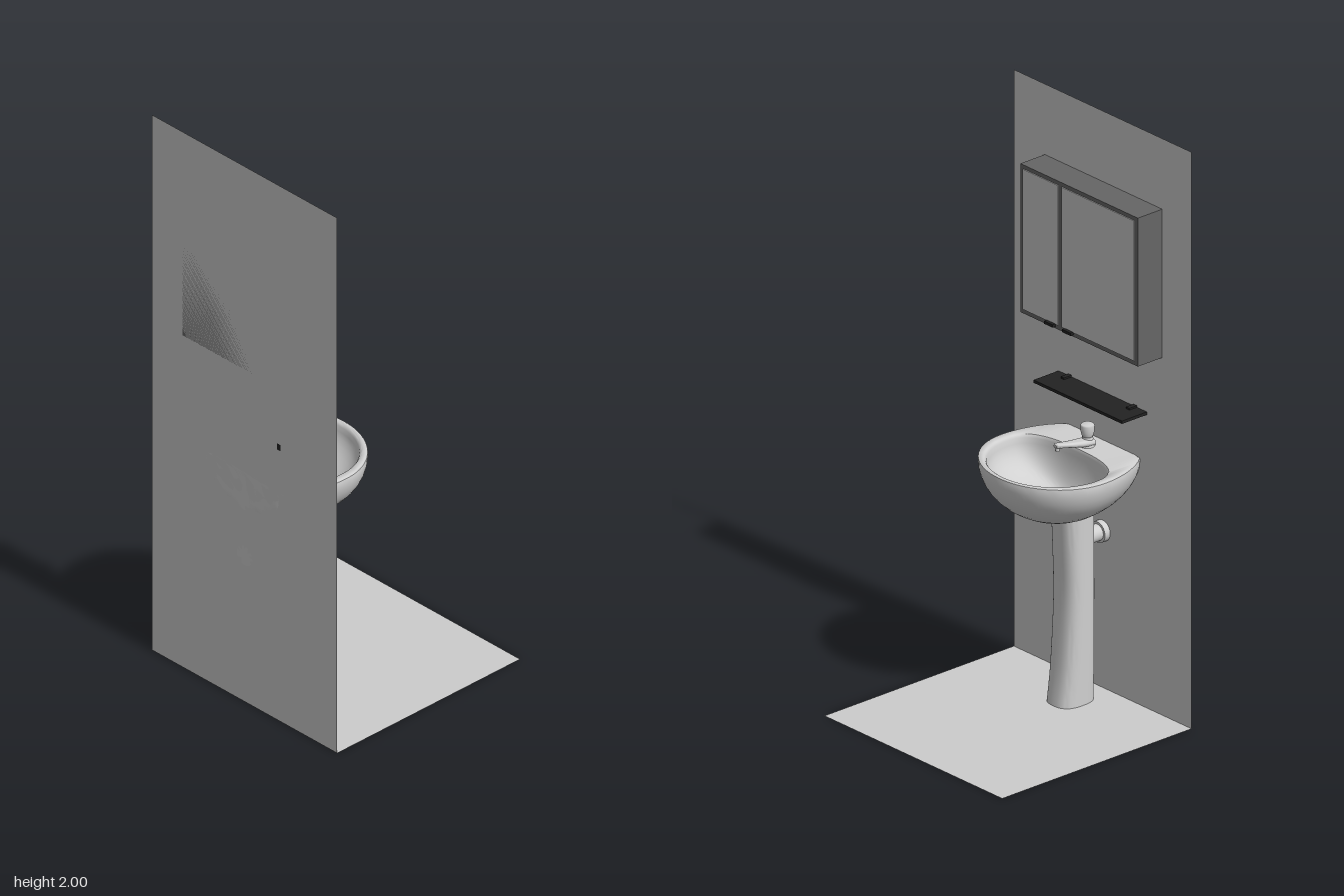
import * as THREE from 'three';
import { toCreasedNormals } from 'three/addons/utils/BufferGeometryUtils.js';

const mat = (name, color) => new THREE.MeshStandardMaterial({ name, color, side: THREE.DoubleSide });

// Skin a list of rings; ring(i, angle) returns [x, y, z]. Rings run from top to bottom on outer walls.
function loft(rings, segments, ring) {
  const pos = [], idx = [];
  for (let i = 0; i < rings; i++) {
    for (let j = 0; j < segments; j++) pos.push(...ring(i, (j / segments) * Math.PI * 2));
  }
  for (let i = 0; i < rings - 1; i++) {
    for (let j = 0; j < segments; j++) {
      const k = (j + 1) % segments;
      const a = i * segments + j, b = i * segments + k, c = a + segments, d = b + segments;
      idx.push(a, b, c, b, d, c);
    }
  }
  const g = new THREE.BufferGeometry();
  g.setAttribute('position', new THREE.Float32BufferAttribute(pos, 3));
  g.setIndex(idx);
  return toCreasedNormals(g, 0.8);
}

const power = (v, e) => Math.sign(v) * Math.pow(Math.abs(v), e);

// Outer basin outline: an oval cut flat by the wall
function outerOutline(a, s) {
  const c = Math.cos(a);
  return [Math.max(-0.4, -0.19 + s * c * (c > 0 ? 0.227 : 0.3)), s * 0.25 * Math.sin(a)];
}

// Inner bowl outline: round in front, squarer at the back, drawn in towards the drain
function innerOutline(a, s) {
  const c = Math.cos(a), e = c > 0 ? 1 : 0.75;
  const x = -0.18 + power(c, e) * (c > 0 ? 0.195 : 0.115);
  const z = power(Math.sin(a), e) * 0.213;
  return [-0.243 + (x + 0.243) * s, z * s];
}

function basinGeometry() {
  const rings = [];
  const steps = 12;
  for (let i = 0; i <= steps; i++) {
    const t = (i / steps) * Math.PI / 2;
    rings.push([innerOutline, Math.max(0.001, Math.sin(t)), 0.847 - 0.142 * Math.cos(t)]);
  }
  rings.push([innerOutline, 1.02, 0.855], [innerOutline, 1.04, 0.858]);
  rings.push([outerOutline, 0.97, 0.859], [outerOutline, 0.995, 0.856], [outerOutline, 1, 0.85]);
  for (let i = 1; i <= steps; i++) {
    const t = (i / steps) * Math.PI / 2;
    rings.push([outerOutline, Math.max(0.001, Math.cos(t)), 0.85 - 0.19 * Math.sin(t)]);
  }
  return loft(rings.length, 64, (i, a) => {
    const [outline, s, y] = rings[i];
    const [x, z] = outline(a, s);
    return [x, y, z];
  });
}

// Pedestal with a straight back and a gently waisted front
function pedestalGeometry() {
  const front = new THREE.SplineCurve([
    [-0.208, 0.69], [-0.217, 0.52], [-0.221, 0.35], [-0.207, 0.13], [-0.19, 0],
  ].map(([x, y]) => new THREE.Vector2(x, y)));
  const n = 16, back = -0.335;
  return loft(n + 1, 40, (i, a) => {
    const p = front.getPoint(i / n);
    const r = (p.x - back) / 2;
    return [back + r + r * power(Math.cos(a), 0.75), p.y, 0.062 * power(Math.sin(a), 0.75)];
  });
}

// Spout tapering from the tap body to the tip
function spoutGeometry() {
  const stations = [
    [-0.35, 0.859, 0.884, 0.024], [-0.3, 0.866, 0.888, 0.022], [-0.25, 0.879, 0.896, 0.016],
    [-0.205, 0.889, 0.905, 0.011], [-0.199, 0.892, 0.902, 0.007], [-0.199, 0.897, 0.898, 0.001],
  ];
  return loft(stations.length, 20, (i, a) => {
    const [x, lo, hi, w] = stations[i];
    return [x, (lo + hi) / 2 + (hi - lo) / 2 * power(Math.sin(a), 0.7), w * power(Math.cos(a), 0.7)];
  });
}

export function createModel() {
  const model = new THREE.Group();
  model.name = 'washbasinCorner';
  const plaster = mat('plaster', 0xcccccc);
  const ceramic = mat('ceramic', 0xd0d0d0);
  const mirror = mat('mirror', 0xcacaca);
  const cabinetGrey = mat('cabinetGrey', 0x666666);
  const dark = mat('darkMetal', 0x222222);

  const add = (name, geometry, material, x = 0, y = 0, z = 0, parent = model) => {
    const m = new THREE.Mesh(geometry, material);
    m.name = name;
    m.position.set(x, y, z);
    parent.add(m);
    return m;
  };
  const group = (name) => {
    const g = new THREE.Group();
    g.name = name;
    model.add(g);
    return g;
  };
  // Box given by its extents
  const box = (name, material, x0, x1, y0, y1, z0, z1, parent) =>
    add(name, new THREE.BoxGeometry(x1 - x0, y1 - y0, z1 - z0), material,
      (x0 + x1) / 2, (y0 + y1) / 2, (z0 + z1) / 2, parent);

  // Room surfaces
  add('floor', new THREE.PlaneGeometry(0.8, 0.844).rotateX(-Math.PI / 2), plaster);
  add('wall', new THREE.PlaneGeometry(0.844, 2).rotateY(Math.PI / 2), plaster, -0.4, 1, 0);

  // Basin and pedestal
  add('basin', basinGeometry(), ceramic);
  add('pedestal', pedestalGeometry(), ceramic);
  add('drain', new THREE.CylinderGeometry(0.024, 0.024, 0.008, 24), ceramic, -0.243, 0.707, 0);

  // Waste pipe into the wall
  const pipe = group('wastePipe');
  const along = (r, length) => new THREE.CylinderGeometry(r, r, length, 28).rotateZ(Math.PI / 2);
  add('pipeFlange', along(0.036, 0.022), ceramic, -0.389, 0.545, 0, pipe);
  add('pipe', along(0.028, 0.1), ceramic, -0.34, 0.545, 0, pipe);

  // Tap
  const tap = group('tap');
  add('tapBody', new THREE.CylinderGeometry(0.017, 0.024, 0.036, 24), ceramic, -0.336, 0.874, 0, tap);
  add('tapHandle', new THREE.LatheGeometry([
    [0, 0], [0.016, 0], [0.019, 0.008], [0.022, 0.02], [0.023, 0.04], [0.02, 0.045], [0, 0.046],
  ].map(([x, y]) => new THREE.Vector2(x, y)), 24), ceramic, -0.336, 0.889, 0, tap);
  add('tapSpout', spoutGeometry(), ceramic, 0, 0, 0, tap);
  add('tapNozzle', new THREE.CylinderGeometry(0.008, 0.007, 0.018, 16), ceramic, -0.209, 0.887, 0, tap);

  // Shelf on two brackets
  const shelf = group('shelf');
  box('shelfBoard', dark, -0.4, -0.295, 1.017, 1.027, -0.21, 0.21, shelf);
  for (const z of [-0.155, 0.155]) {
    box('shelfBracket', dark, -0.4, -0.368, 1.01, 1.033, z - 0.008, z + 0.008, shelf);
  }

  // Mirror cabinet with two doors
  const cabinet = group('mirrorCabinet');
  box('cabinetBody', cabinetGrey, -0.4, -0.297, 1.24, 1.755, -0.283, 0.275, cabinet);
  for (const [z0, z1] of [[-0.268, 0.076], [0.093, 0.261]]) {
    box('mirrorDoor', mirror, -0.298, -0.294, 1.255, 1.741, z0, z1, cabinet);
  }
  for (const z of [0.041, 0.126]) {
    box('doorHandle', dark, -0.296, -0.283, 1.247, 1.257, z - 0.02, z + 0.02, cabinet);
  }
  return model;
}
